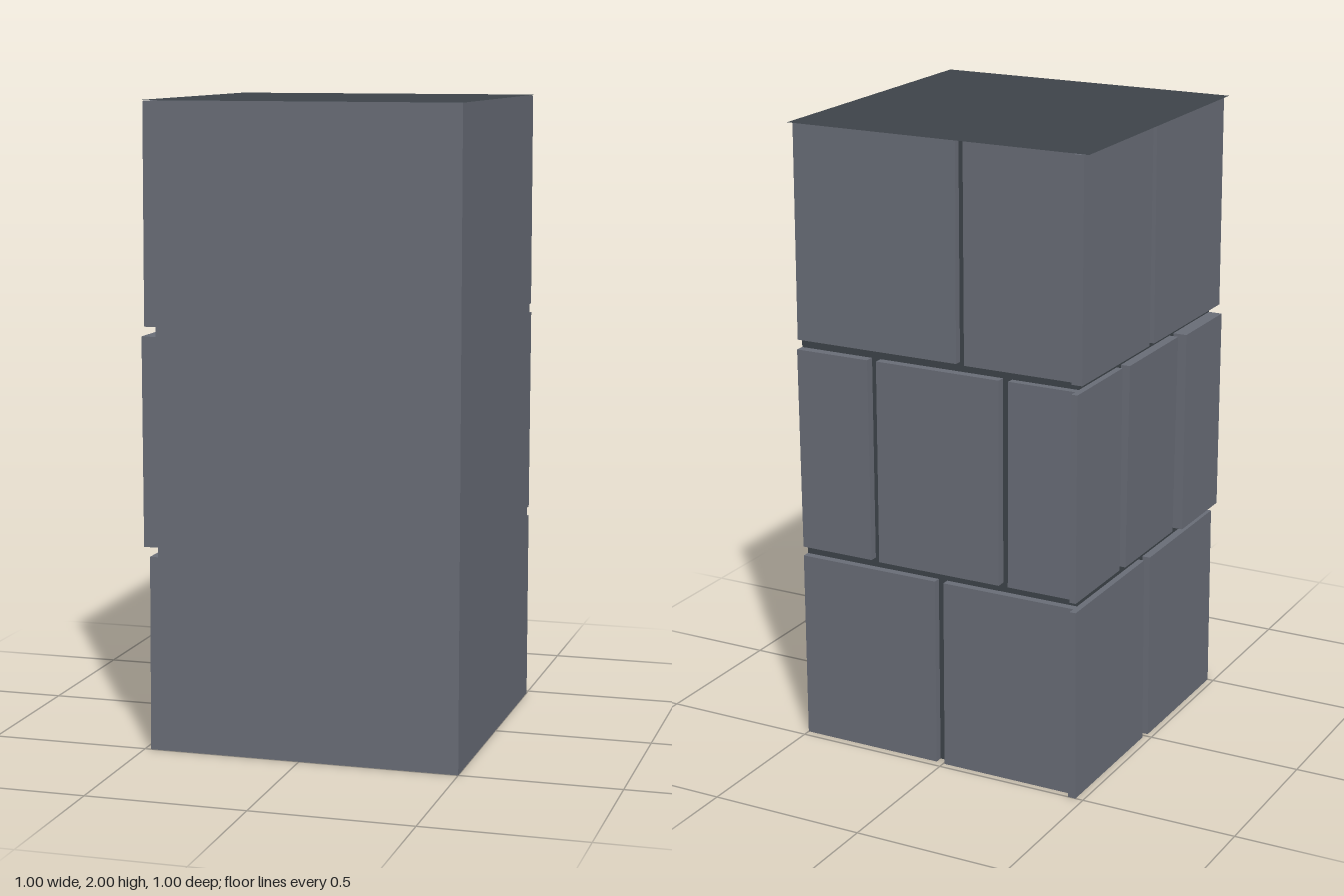
import * as THREE from 'three';

const stone = new THREE.MeshStandardMaterial({ color: 0x686c76, side: THREE.DoubleSide });
stone.name = 'grey stone';
const mortar = new THREE.MeshStandardMaterial({ color: 0x3d4349, side: THREE.DoubleSide });
mortar.name = 'dark mortar';

const INNER = 0.45; // distance of the recessed walls from the centre
const ROWS = [[0, 0.61], [0.64, 1.29], [1.32, 1.998]];

// Flat wall or cap, facing +z before rotation
function panel(name, width, height, material, position, rotation = [0, 0, 0]) {
  const mesh = new THREE.Mesh(new THREE.PlaneGeometry(width, height), material);
  mesh.name = name;
  mesh.position.set(...position);
  mesh.rotation.set(...rotation);
  return mesh;
}

// Brick standing on the recessed wall; its face leans from depth low to depth high
function brick(u0, u1, [y0, y1], low, high) {
  const geometry = new THREE.BoxGeometry(1, 1, 1);
  const p = geometry.attributes.position;
  for (let i = 0; i < p.count; i++) {
    const top = p.getY(i) > 0;
    const outer = p.getZ(i) > 0;
    p.setXYZ(i, p.getX(i) > 0 ? u1 : u0, top ? y1 : y0, outer ? (top ? high : low) : INNER);
  }
  geometry.computeVertexNormals();
  const mesh = new THREE.Mesh(geometry, stone);
  mesh.name = 'brick';
  return mesh;
}

// Rows of bricks: [start, end, depth at bottom, depth at top]
function brickWall(name, rows, turn) {
  const wall = new THREE.Group();
  wall.name = name;
  rows.forEach((row, r) => {
    for (const [u0, u1, low, high] of row) wall.add(brick(u0, u1, ROWS[r], low, high));
  });
  wall.rotation.y = turn;
  return wall;
}

export function createModel() {
  const model = new THREE.Group();
  model.name = 'brickPillar';
  const w = 0.5 + INNER;
  const c = (0.5 - INNER) / 2;

  // Hollow shell, open underneath
  model.add(
    panel('frontWall', w, 2, stone, [c, 1, 0.5]),
    panel('leftWall', w, 2, stone, [0.5, 1, c], [0, Math.PI / 2, 0]),
    panel('backMortar', w, 2, mortar, [c, 1, -INNER], [0, Math.PI, 0]),
    panel('rightMortar', w, 2, mortar, [-INNER, 1, c], [0, -Math.PI / 2, 0]),
    panel('topCap', 1, 1, mortar, [0, 2, 0], [-Math.PI / 2, 0, 0]),
  );

  // Back bricks, running from the left edge to the corner
  model.add(brickWall('backBricks', [
    [[-0.5, -0.025, 0.475, 0.475], [0.005, INNER, 0.478, 0.475]],
    [[-0.5, -0.25, 0.475, 0.48], [-0.22, 0.2, 0.48, 0.478], [0.23, INNER, 0.478, 0.474]],
    [[-0.5, 0.055, 0.475, 0.47], [0.085, INNER, 0.48, 0.48]],
  ], Math.PI));

  // Right bricks, covering the back corner
  model.add(brickWall('rightBricks', [
    [[-0.5, -0.015, 0.475, 0.47], [0.015, 0.5, 0.48, 0.476]],
    [[-0.5, -0.195, 0.47, 0.47], [-0.165, 0.19, 0.475, 0.48], [0.22, 0.5, 0.495, 0.495]],
    [[-0.5, -0.035, 0.485, 0.485], [-0.005, 0.5, 0.486, 0.483]],
  ], -Math.PI / 2));

  return model;
}
